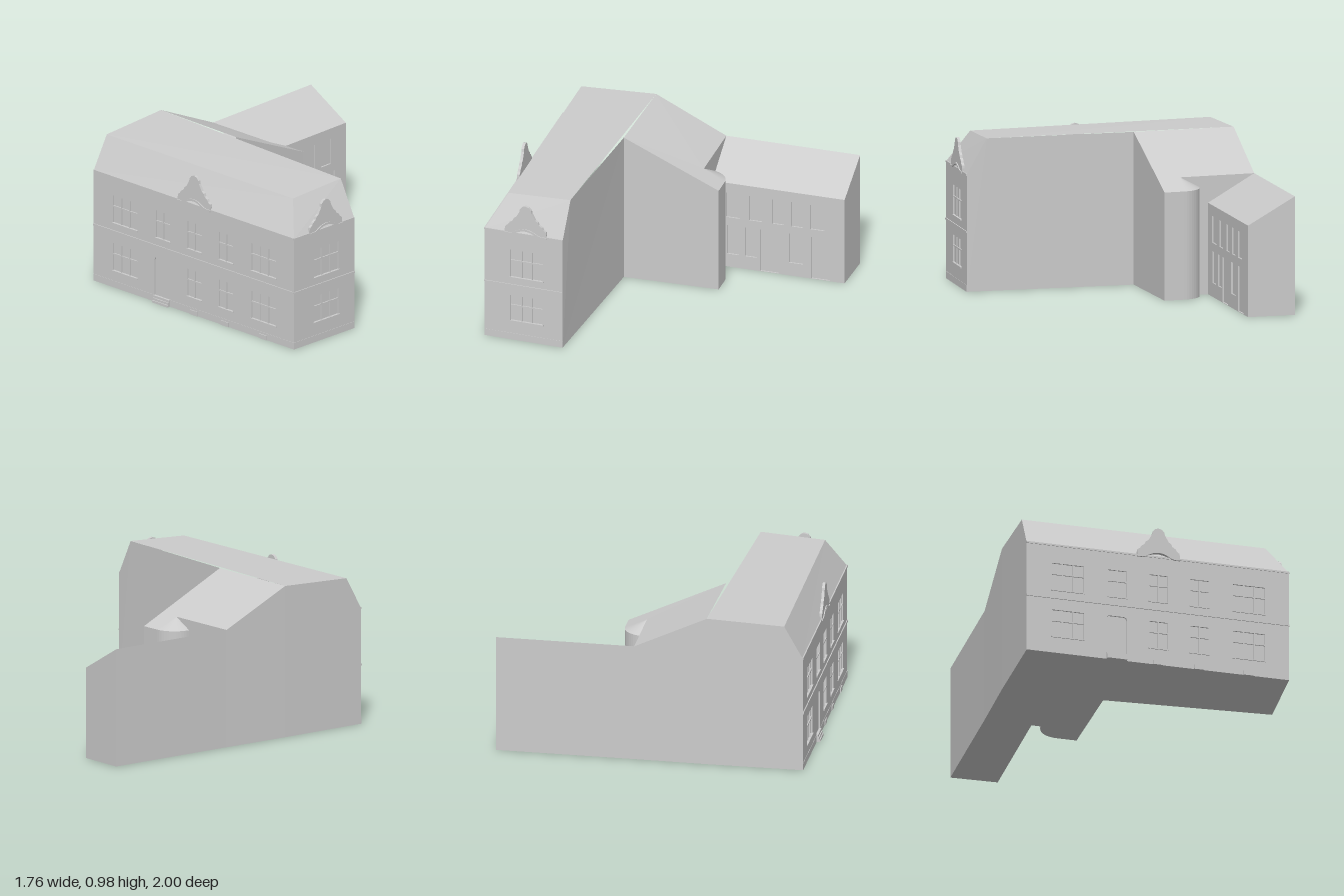
import * as THREE from 'three';

const stone = new THREE.MeshStandardMaterial({ color: 0xcccccc });
stone.name = 'pale grey';
const INSET = 0.01; // depth of window recesses

const add = (parent, name, geo) => {
  const m = new THREE.Mesh(geo, stone);
  m.name = name;
  parent.add(m);
  return m;
};

// Flat polygons, each fanned from its first corner
function faces(parent, name, polys) {
  const pos = [];
  for (const p of polys)
    for (let i = 1; i < p.length - 1; i++) pos.push(...p[0], ...p[i], ...p[i + 1]);
  const g = new THREE.BufferGeometry();
  g.setAttribute('position', new THREE.Float32BufferAttribute(pos, 3));
  g.computeVertexNormals();
  return add(parent, name, g);
}

function box(parent, name, x0, x1, y0, y1, z0, z1) {
  const m = add(parent, name, new THREE.BoxGeometry(x1 - x0, y1 - y0, z1 - z0));
  m.position.set((x0 + x1) / 2, (y0 + y1) / 2, (z0 + z1) / 2);
}

// Opening outline, with optional rounded upper corners
function opening({ a, b, y0, y1, r = 0 }) {
  const p = new THREE.Path();
  p.moveTo(a, y0).lineTo(b, y0).lineTo(b, y1 - r);
  if (r) p.quadraticCurveTo(b, y1, b - r, y1);
  p.lineTo(a + r, y1);
  if (r) p.quadraticCurveTo(a, y1, a, y1 - r);
  p.closePath();
  return p;
}

// Wall skin from p to q (x, z): local x runs along it, local z points outward
function facade(parent, name, p, q, height, openings) {
  const g = new THREE.Group();
  g.name = name;
  const dx = q[0] - p[0], dz = q[1] - p[1], len = Math.hypot(dx, dz);
  g.position.set(p[0], 0, p[1]);
  g.rotation.y = Math.atan2(-dz, dx);
  parent.add(g);
  const s = new THREE.Shape();
  s.moveTo(0, 0).lineTo(len, 0).lineTo(len, height).lineTo(0, height).closePath();
  openings.forEach(o => s.holes.push(opening(o)));
  add(g, name + 'Skin', new THREE.ExtrudeGeometry(s, { depth: INSET, bevelEnabled: false, curveSegments: 5 }))
    .position.z = -INSET;
  // Mullions, transoms and sills
  for (const { a, b, y0, y1, cols = 0, sill } of openings) {
    for (let i = 1; i < cols; i++) {
      const x = a + (b - a) * i / cols;
      box(g, 'mullion', x - 0.004, x + 0.004, y0, y1, -INSET, -0.002);
    }
    const t = y0 + (y1 - y0) * 0.6;
    if (cols) box(g, 'transom', a, b, t - 0.004, t + 0.004, -INSET, -0.002);
    if (sill) box(g, 'windowSill', a - 0.005, b + 0.005, y0 - 0.008, y0, -0.004, 0.006);
  }
  return { g, len };
}

// Plinth, string course and eaves moulding
function mouldings({ g, len }) {
  box(g, 'plinth', 0, len, 0, 0.045, -0.005, 0.002);
  box(g, 'stringCourse', 0, len, 0.377, 0.389, -0.005, 0.006);
  box(g, 'eavesMoulding', 0, len, 0.744, 0.756, -0.005, 0.004);
}

// Curved dormer gable above an arched cornice
function gable(parent, cx) {
  const half = [[0.14, 0.772], [0.137, 0.79], [0.12, 0.803], [0.112, 0.818], [0.09, 0.832], [0.083, 0.85],
    [0.066, 0.862], [0.056, 0.88], [0.042, 0.905], [0.038, 0.925], [0.022, 0.943], [0, 0.95]];
  const arch = [];
  for (let i = 0; i <= 16; i++) {
    const x = -0.14 + 0.28 * i / 16;
    arch.push([x, 0.74 + 0.037 * Math.max(0, Math.cos(x / 0.095 * Math.PI / 2)) * (Math.abs(x) < 0.095 ? 1 : 0)]);
  }
  const shape = pts => new THREE.Shape(pts.map(([x, y]) => new THREE.Vector2(x, y)));
  const left = half.slice(0, -1).reverse().map(([x, y]) => [-x, y]);
  const ext = (name, pts, z0, z1) =>
    add(parent, name, new THREE.ExtrudeGeometry(shape(pts), { depth: z1 - z0, bevelEnabled: false }))
      .position.set(cx, 0, z0);
  ext('ornamentalGable', [...arch, ...half, ...left], -0.014, 0.004);
  const raised = arch.map(([x, y]) => [x, y + 0.014]).reverse();
  ext('archedCornice', [...arch, ...raised], -0.005, 0.01);
}

export function createModel() {
  const root = new THREE.Group();
  root.name = 'building';
  const low = p => [p[0], 0, p[2]];

  // Key corners: main hall
  const A = [-0.88, 0.75, 0.975], B = [0.84, 0.75, 0.975], C = [0.875, 0.75, 0.45];
  const D = [-0.878, 0.96, 0.855], E = [0.72, 0.96, 0.853], F = [0.747, 0.98, 0.437];
  const G = [-0.87, 0.98, 0.358], P = [-0.21, 0.98, 0.373];
  // Middle block and rear wing
  const R = [-0.21, 0.694, -0.253], S = [-0.34, 0.694, -0.253], T = [-0.36, 0.76, -0.11];
  const H = [-0.853, 0.76, -0.11], W = [-0.83, 0.76, -1];
  const U = [-0.522, 0.587, -0.99], V = [-0.546, 0.587, -0.11];
  // Wall planes set behind the facade skins
  const A2 = [-0.88, 0.75, 0.965], B2 = [0.83, 0.75, 0.965], C2 = [0.865, 0.75, 0.45];
  const U2 = [-0.532, 0.587, -0.99], V2 = [-0.556, 0.587, -0.11];
  const wall = (l, r) => [low(l), low(r), r, l];

  faces(root, 'mansardRoof', [[A, B, E, D], [P, F, G], [D, E, F], [D, F, G], [B, C, F, E]]);
  faces(root, 'mainWalls', [wall(A2, B2), wall(B2, C2), [low(C), low(P), P, F, C], [low(G), low(A), A, D, G]]);
  faces(root, 'middleBlockRoof', [[T, H, G, P, R, S]]);
  faces(root, 'middleBlockWalls', [wall(H, G), wall(P, R), wall(R, S), wall(T, H)]);
  faces(root, 'rearWingRoof', [[H, V, U, W]]);
  faces(root, 'rearWingWalls', [wall(W, H), wall(U, W), wall(V2, U2)]);

  // Rounded stair tower with part-conical roof
  const arc = [];
  for (let i = 0; i <= 12; i++) {
    const t = i / 12 * Math.PI / 2;
    arc.push([-0.34 - 0.143 * Math.sin(t), 0.694, -0.11 - 0.143 * Math.cos(t)]);
  }
  const pairs = arc.slice(1).map((b, i) => [arc[i], b]);
  faces(root, 'stairTowerWall', pairs.map(([a, b]) => wall(a, b)));
  faces(root, 'stairTowerRoof', pairs.map(([a, b]) => [T, a, b]));

  // Underside
  faces(root, 'base', [[P, C, B, A, G], [T, S, R, P, G, H], [H, W, U, V], [T, ...[...arc].reverse()]]
    .map(p => p.map(low)));

  // Front facade
  const at = x => x + 0.88;
  const front = [];
  for (const [a, b, cols] of [[-0.715, -0.505, 3], [-0.345, -0.225, 2], [-0.075, 0.045, 2], [0.195, 0.315, 2], [0.475, 0.685, 3]]) {
    front.push({ a: at(a), b: at(b), y0: 0.44, y1: 0.625, cols, sill: true });
    if (a !== -0.345) front.push({ a: at(a), b: at(b), y0: 0.115, y1: 0.3, cols, sill: true });
  }
  front.push({ a: at(-0.357), b: at(-0.222), y0: 0.035, y1: 0.305, r: 0.025 });
  const f = facade(root, 'frontFacade', [-0.88, 0.975], [0.84, 0.975], 0.75, front);
  mouldings(f);
  gable(f.g, at(-0.015));
  for (let i = 0; i < 3; i++)
    box(f.g, 'doorStep', at(-0.355), at(-0.225), i * 0.015, (i + 1) * 0.015, -0.005, 0.025 - i * 0.007);
  for (const x of [-0.018, 0.25, 0.575])
    box(f.g, 'basementWindow', at(x - 0.032), at(x + 0.032), 0, 0.03, -0.005, 0.008);

  // Right end facade
  const e = facade(root, 'endFacade', [0.84, 0.975], [0.875, 0.45], 0.75, [
    { a: 0.175, b: 0.39, y0: 0.44, y1: 0.63, cols: 3, sill: true },
    { a: 0.175, b: 0.39, y0: 0.135, y1: 0.31, cols: 3, sill: true },
  ]);
  mouldings(e);
  gable(e.g, 0.276);

  // Rear wing courtyard facade; distances measured from the tower end
  const court = [];
  for (const [a, b] of [[0.09, 0.18], [0.247, 0.332], [0.402, 0.477], [0.525, 0.6], [0.654, 0.745]])
    court.push({ a, b, y0: 0.347, y1: 0.518 });
  for (const [a, b] of [[0.1, 0.178], [0.22, 0.295], [0.51, 0.605]])
    court.push({ a, b, y0: 0.09, y1: 0.293 });
  for (const [a, b] of [[0.32, 0.44], [0.66, 0.78]])
    court.push({ a, b, y0: 0.003, y1: 0.293 });
  facade(root, 'courtyardFacade', [V[0], V[2]], [U[0], U[2]], 0.587, court);

  return root;
}
